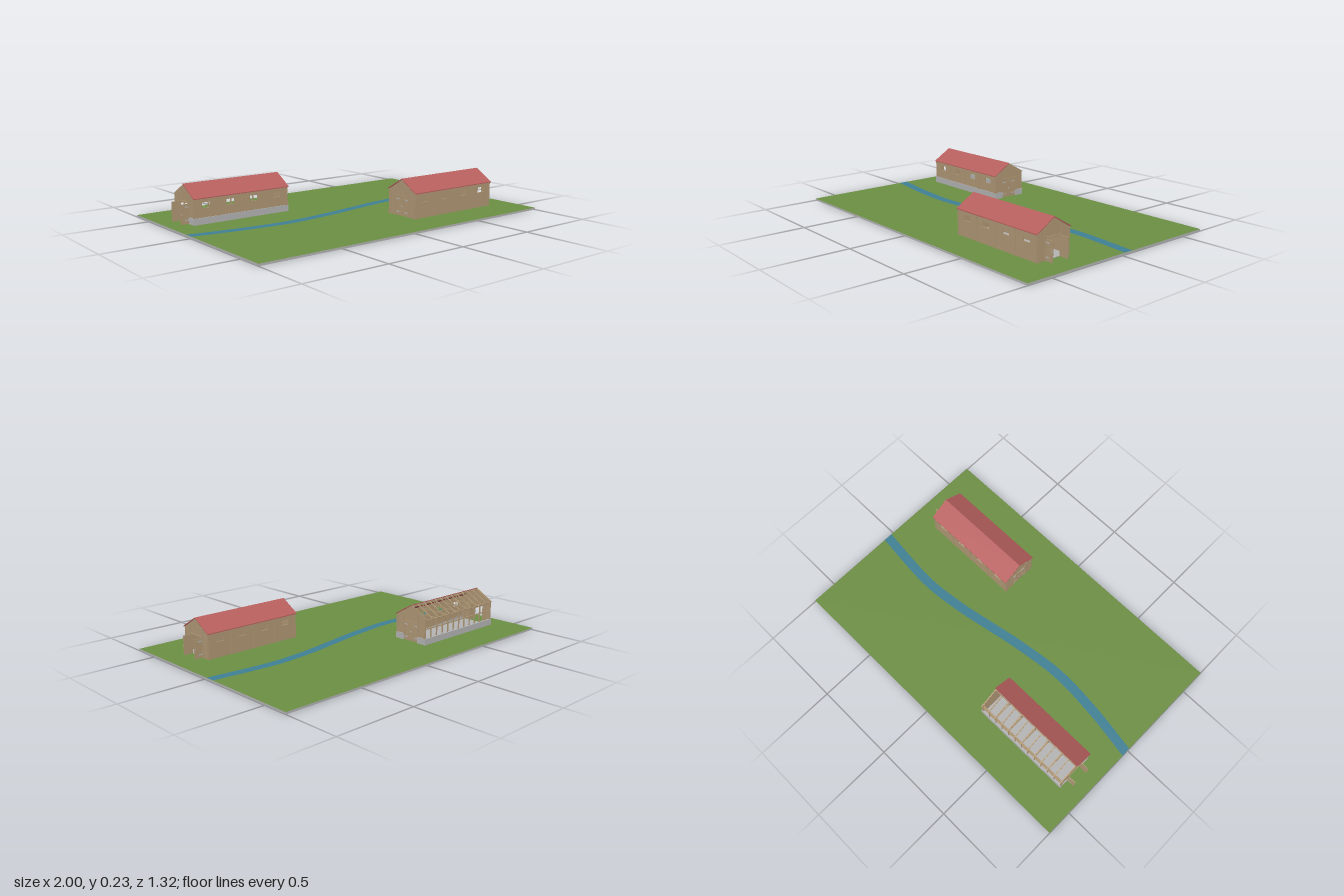
import * as THREE from 'three';

const mat = (name, color, side = THREE.FrontSide) => {
  const m = new THREE.MeshStandardMaterial({ color, side });
  m.name = name;
  return m;
};

// Main barn measures
const BASE = 0.012, EAVE = 0.161, RIDGE = 0.229, PLINTH = 0.05;
const HALF_L = 0.312, HALF_W = 0.111, ROOF_L = 0.318, ROOF_W = 0.119;
const DOOR_W = 0.106, DOOR_TOP = 0.127, WALL = 0.007;
const WINDOWS = [-0.236, -0.079, 0.079, 0.236];

export function createModel() {
  const grass = mat('grass green', 0x6b8e43);
  const water = mat('water blue', 0x3f7f93, THREE.DoubleSide);
  const wood = mat('timber brown', 0xae9673);
  const red = mat('roof red', 0xb65f5e);
  const concrete = mat('concrete grey', 0xb2b2b2);

  const model = new THREE.Group();
  model.name = 'farmyard';

  const add = (parent, name, geometry, material, x = 0, y = 0, z = 0) => {
    const mesh = new THREE.Mesh(geometry, material);
    mesh.name = name;
    mesh.position.set(x, y, z);
    parent.add(mesh);
    return mesh;
  };
  // Box given by its extents
  const box = (parent, name, material, x0, x1, y0, y1, z0, z1) =>
    add(parent, name, new THREE.BoxGeometry(x1 - x0, y1 - y0, z1 - z0), material,
      (x0 + x1) / 2, (y0 + y1) / 2, (z0 + z1) / 2);
  const polygon = pts => new THREE.Shape(pts.map(p => new THREE.Vector2(...p)));
  const rectHole = (x0, x1, y0, y1) =>
    new THREE.Path([[x0, y0], [x1, y0], [x1, y1], [x0, y1]].map(p => new THREE.Vector2(...p)));
  const extrude = (shape, depth) => new THREE.ExtrudeGeometry(shape, { depth, bevelEnabled: false });

  // Ground slab: green on top, grey elsewhere
  add(model, 'ground', new THREE.BoxGeometry(2, BASE, 1.315),
    [concrete, concrete, grass, concrete, concrete, concrete], 0, BASE / 2, 0);

  // Winding river
  const course = new THREE.SplineCurve([[-1, -0.016], [-0.7, 0.031], [-0.4, 0.052], [-0.1, 0.02],
    [0.1, -0.016], [0.35, -0.06], [0.62, -0.08], [1, -0.046]].map(p => new THREE.Vector2(...p))).getPoints(48);
  const bank = s => course.map(p => [p.x, -p.y + s * 0.029]);
  const river = new THREE.ShapeGeometry(polygon([...bank(-1), ...bank(1).reverse()]));
  river.rotateX(-Math.PI / 2);
  add(model, 'river', river, water, 0, BASE + 0.001, 0);

  // Door leaf with braces and metal fittings, hinged at z = 0, spreading to +z, facing +x
  function doorLeaf() {
    const leaf = new THREE.Group();
    leaf.name = 'doorLeaf';
    const w = DOOR_W / 2;
    box(leaf, 'doorPanel', wood, -0.002, 0.002, BASE + 0.001, DOOR_TOP, 0, w);
    for (const y of [0.034, 0.072, 0.11])
      box(leaf, 'doorBrace', wood, 0.002, 0.003, y - 0.005, y + 0.005, 0, w);
    for (const y of [0.034, 0.11])
      box(leaf, 'hingeStrap', concrete, 0.003, 0.004, y - 0.003, y + 0.003, 0, 0.03);
    box(leaf, 'doorHandle', concrete, 0.003, 0.005, 0.066, 0.073, w - 0.005, w);
    return leaf;
  }

  // The barn's open doors are at +x; a cutaway barn shows its frame on the +z side
  function barn(name, x, z, turn, cutaway) {
    const g = new THREE.Group();
    g.name = name;
    g.position.set(x, 0, z);
    g.rotation.y = turn;
    model.add(g);
    const d = DOOR_W / 2;

    // Floor
    box(g, 'floor', concrete, 0.004 - HALF_L, HALF_L - 0.004, BASE - 0.002, BASE + 0.003,
      0.004 - HALF_W, HALF_W - 0.004);

    // Gable ends with doorways and upright posts
    for (const s of [-1, 1]) {
      const gable = polygon([[-HALF_W, BASE], [-d, BASE], [-d, DOOR_TOP], [d, DOOR_TOP], [d, BASE],
        [HALF_W, BASE], [HALF_W, EAVE], [0, RIDGE], [-HALF_W, EAVE]]);
      const geo = extrude(gable, WALL);
      geo.rotateY(Math.PI / 2);
      add(g, 'gableWall', geo, wood, s > 0 ? HALF_L - WALL : -HALF_L);
      for (const pz of [-HALF_W + 0.005, -d - 0.004, d + 0.004, HALF_W - 0.005])
        box(g, 'gablePost', wood, s * HALF_L - 0.004, s * HALF_L + 0.004, BASE,
          EAVE + (Math.abs(pz) < 0.08 ? 0.02 : 0), pz - 0.004, pz + 0.004);
      box(g, 'doorLintel', wood, s * HALF_L - 0.004, s * HALF_L + 0.004, DOOR_TOP, DOOR_TOP + 0.008, -d, d);
    }

    // Open doors at +x, closed doors at -x
    for (const s of [-1, 1]) {
      const open = doorLeaf();
      open.position.set(HALF_L, 0, s * d);
      open.rotation.y = Math.PI / 2;
      open.scale.x = -s;
      g.add(open);
      const closed = doorLeaf();
      closed.position.set(0.003 - HALF_L, 0, s * d);
      closed.scale.set(-1, 1, -s);
      g.add(closed);
    }

    // Long walls with window openings and posts
    for (const s of cutaway ? [-1] : [-1, 1]) {
      const wall = polygon([[-HALF_L, BASE], [HALF_L, BASE], [HALF_L, EAVE], [-HALF_L, EAVE]]);
      for (const wx of WINDOWS) wall.holes.push(rectHole(wx - 0.026, wx + 0.026, 0.104, 0.136));
      add(g, 'longWall', extrude(wall, WALL), wood, 0, 0, s > 0 ? HALF_W - WALL : -HALF_W);
      for (let i = -2; i <= 2; i++) {
        const px = i * 0.154;
        box(g, 'wallPost', wood, px - 0.005, px + 0.005, BASE, EAVE - 0.002,
          s * HALF_W - 0.004, s * HALF_W + 0.004);
      }
    }

    // Roof slopes
    for (const s of cutaway ? [-1] : [-1, 1]) {
      const pts = [[0, RIDGE], [s * ROOF_W, EAVE - 0.003], [s * ROOF_W, EAVE + 0.002], [0, RIDGE + 0.005]];
      const geo = extrude(polygon(pts), ROOF_L * 2);
      geo.rotateY(-Math.PI / 2);
      add(g, 'roofSlope', geo, red, ROOF_L);
    }

    // Ridge beam
    box(g, 'ridgeBeam', wood, -HALF_L, HALF_L, RIDGE - 0.011, RIDGE - 0.002, -0.004, 0.004);
    if (!cutaway) return;

    // Low concrete wall, broken at the doorways
    const p = HALF_W + 0.005, q = HALF_L + 0.005;
    for (const s of [-1, 1]) {
      box(g, 'plinthLong', concrete, -q, q, BASE, PLINTH, s * (p - 0.006) - 0.006, s * (p - 0.006) + 0.006);
      for (const e of [-1, 1])
        box(g, 'plinthEnd', concrete, e * (q - 0.006) - 0.006, e * (q - 0.006) + 0.006, BASE, PLINTH,
          Math.min(s * d, s * p), Math.max(s * d, s * p));
    }

    // Exposed frame: rails, posts, rafters and roof trusses
    const zf = HALF_W - 0.004;
    box(g, 'wallPlate', wood, -HALF_L, HALF_L, EAVE - 0.011, EAVE - 0.002, zf - 0.004, zf + 0.004);
    box(g, 'middleRail', wood, -HALF_L, HALF_L, 0.102, 0.108, zf - 0.003, zf + 0.003);
    const slope = Math.atan2(RIDGE - EAVE, ROOF_W);
    for (let i = 0; i <= 12; i++) {
      const px = -0.309 + i * 0.0515;
      box(g, 'framePost', wood, px - 0.003, px + 0.003, PLINTH, EAVE - 0.005, zf - 0.003, zf + 0.003);
      const rafter = add(g, 'rafter', new THREE.BoxGeometry(0.006, 0.007, Math.hypot(ROOF_W, RIDGE - EAVE)),
        wood, px, (RIDGE + EAVE) / 2, ROOF_W / 2);
      rafter.rotation.x = slope;
      if (i % 2 === 0) {
        box(g, 'tieBeam', wood, px - 0.003, px + 0.003, EAVE - 0.009, EAVE - 0.003, -HALF_W, HALF_W);
        box(g, 'kingPost', wood, px - 0.003, px + 0.003, EAVE - 0.003, RIDGE - 0.005, -0.003, 0.003);
      }
    }
  }

  barn('finishedBarn', 0.515, 0.325, 0, false);
  barn('cutawayBarn', -0.553, -0.318, Math.PI, true);
  return model;
}
